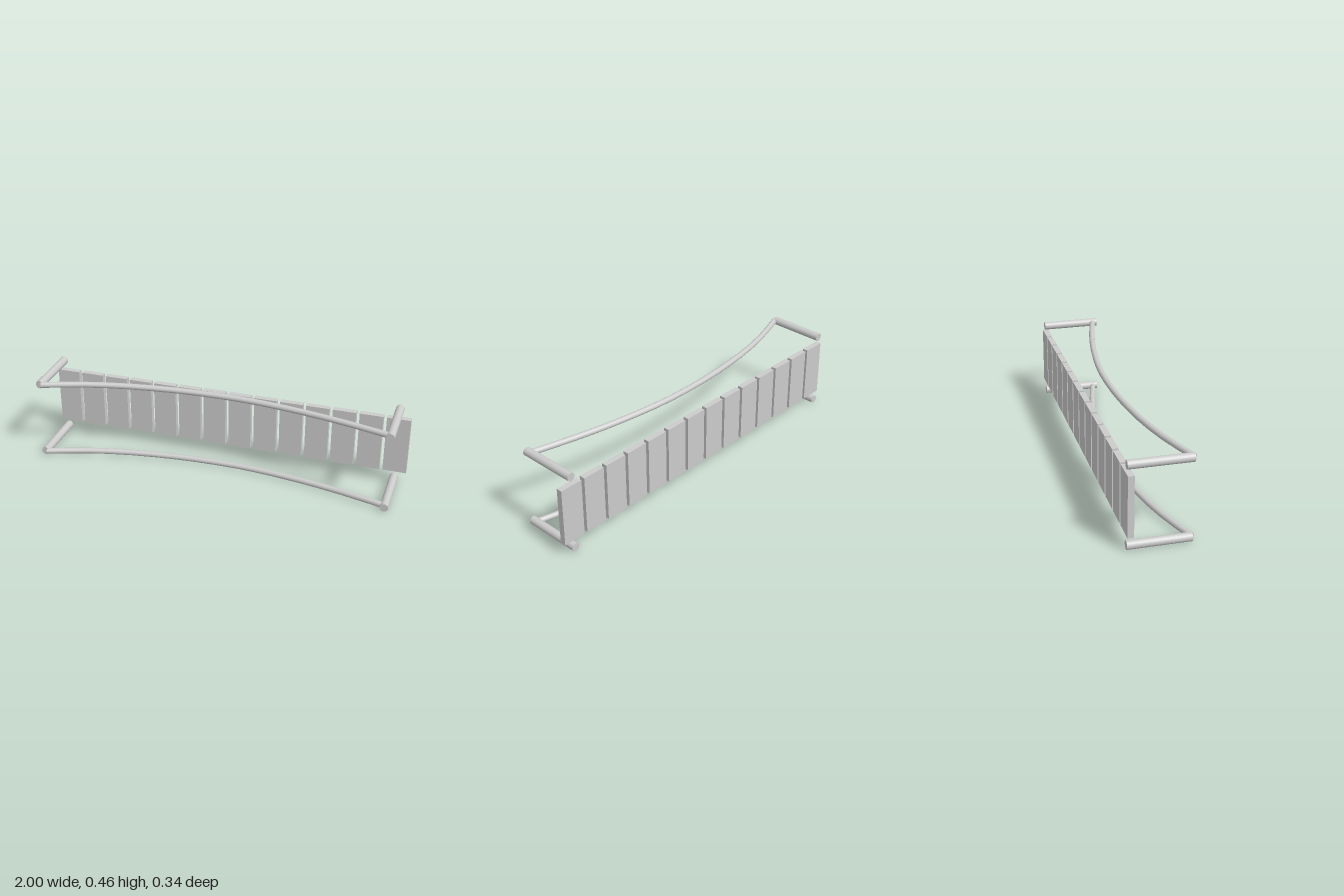
import * as THREE from 'three';

const material = new THREE.MeshStandardMaterial({ color: 0xcccccc });

function addMesh(parent, geometry, name, x = 0, y = 0, z = 0) {
  const mesh = new THREE.Mesh(geometry, material);
  mesh.name = name;
  mesh.position.set(x, y, z);
  parent.add(mesh);
  return mesh;
}

export function createModel() {
  const model = new THREE.Group();
  model.name = 'plankBridge';

  // Deck: a row of evenly spaced planks
  const planks = 14, plankWidth = 0.126;
  const pitch = (2 - plankWidth) / (planks - 1);
  const plankGeometry = new THREE.BoxGeometry(plankWidth, 0.32, 0.032);
  for (let i = 0; i < planks; i++) {
    addMesh(model, plankGeometry, 'plank', -1 + plankWidth / 2 + i * pitch, 0.232, -0.151);
  }

  // Sagging handrail rope, slightly lower at the right end
  const ropeRadius = 0.016;
  const path = new THREE.CatmullRomCurve3([
    [-0.968, 0.153], [-0.75, 0.08], [-0.53, 0.03], [-0.28, -0.003], [-0.13, -0.013],
    [0.13, -0.013], [0.43, 0.02], [0.68, 0.067], [0.935, 0.13],
  ].map(([x, z]) => new THREE.Vector3(x, 0, z)));
  const ropeGeometry = new THREE.TubeGeometry(path, 16, ropeRadius, 16);
  const capGeometry = new THREE.CircleGeometry(ropeRadius, 16);

  // Posts and rope on both sides of the deck
  const postGeometry = new THREE.CylinderGeometry(0.0225, 0.0225, 0.32, 24).rotateX(Math.PI / 2);
  for (const y of [0.0225, 0.44]) {
    const rail = new THREE.Group();
    rail.name = 'handrail';
    rail.position.y = y;
    model.add(rail);
    for (const x of [-0.975, 0.935]) addMesh(rail, postGeometry, 'post', x, 0, -0.007);
    addMesh(rail, ropeGeometry, 'rope');
    for (const t of [0, 1]) {
      const end = path.getPointAt(t);
      const outward = path.getTangentAt(t).multiplyScalar(t ? 1 : -1);
      const cap = addMesh(rail, capGeometry, 'ropeEnd', end.x, end.y, end.z);
      cap.quaternion.setFromUnitVectors(new THREE.Vector3(0, 0, 1), outward);
    }
  }
  return model;
}
